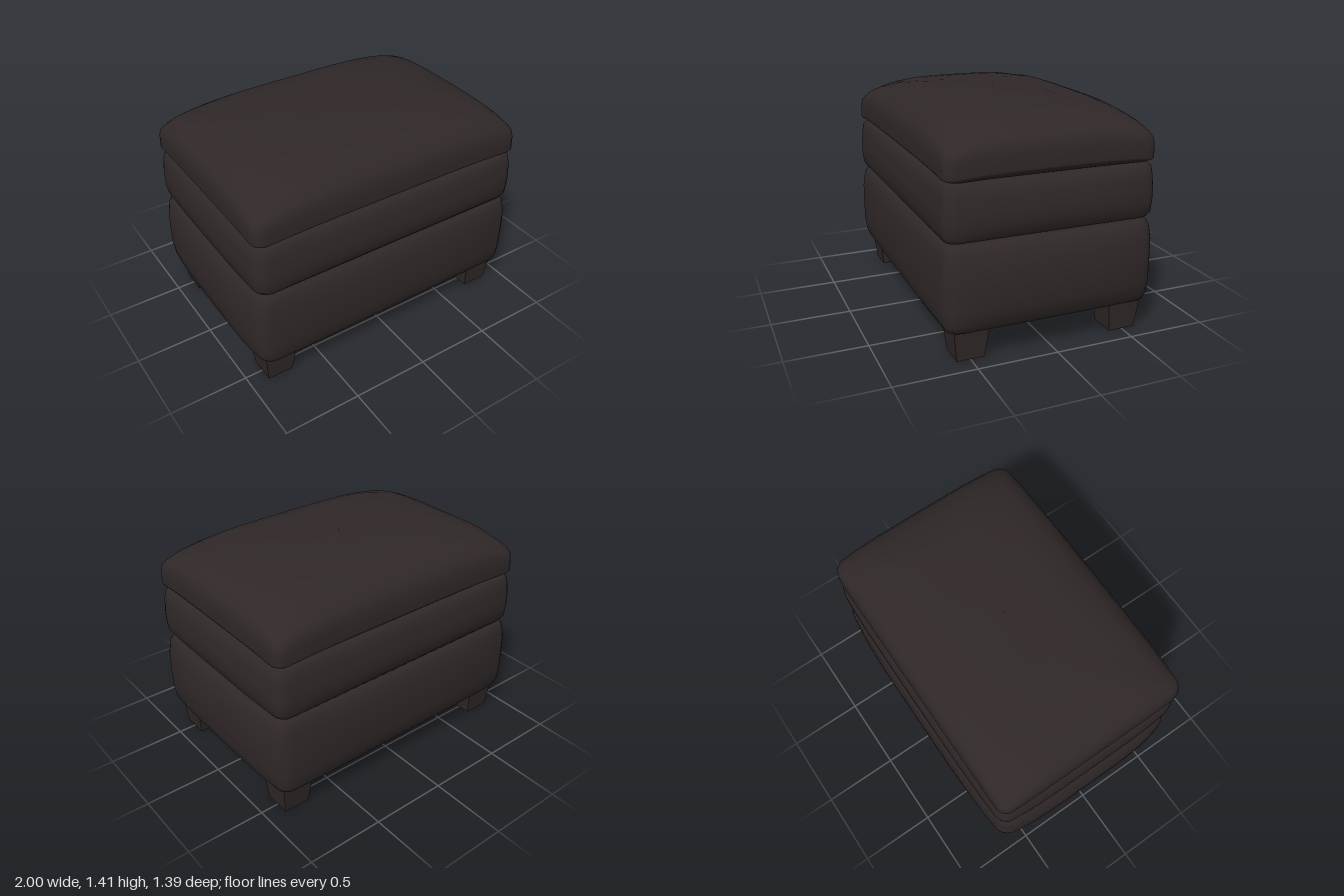
import * as THREE from 'three';

// Perimeter of a rounded rectangle whose four sides swell outwards by `bulge`,
// with corners dipping by `droop`.
function ring([y, hx, hz, bulge = 0, droop = 0]) {
  const r = Math.min(0.07, hx * 0.3, hz * 0.3);
  const base = [];
  const signs = [[1, 1], [-1, 1], [-1, -1], [1, -1]];
  const corner = (q, k) => {
    const a = (q + k / 4) * Math.PI / 2;
    const [sx, sz] = signs[q % 4];
    return [sx * (hx - r) + r * Math.cos(a), sz * (hz - r) + r * Math.sin(a)];
  };
  for (let q = 0; q < 4; q++) {
    for (let k = 0; k <= 4; k++) base.push(corner(q, k));
    const a = corner(q, 4), b = corner(q + 1, 0);
    for (let i = 1; i < 14; i++) {
      const t = i / 14;
      base.push([a[0] + (b[0] - a[0]) * t, a[1] + (b[1] - a[1]) * t]);
    }
  }
  return base.map(([x, z]) => {
    const u = x / hx, v = z / hz;
    return [
      x + Math.sign(x) * bulge * u ** 8 * (1 - v ** 4),
      y - droop * (u * v) ** 4,
      z + 0.65 * Math.sign(z) * bulge * v ** 8 * (1 - u ** 4),
    ];
  });
}

// Skin stacked rings, bottom to top, into one smooth upholstered block.
function cushion(name, rows, material) {
  const rings = rows.map(ring);
  const n = rings[0].length;
  const index = [];
  for (let i = 0; i < rings.length - 1; i++) {
    for (let j = 0; j < n; j++) {
      const a = i * n + j, b = i * n + (j + 1) % n;
      index.push(a, a + n, b, b, a + n, b + n);
    }
  }
  const geometry = new THREE.BufferGeometry();
  geometry.setAttribute('position', new THREE.Float32BufferAttribute(rings.flat(2), 3));
  geometry.setIndex(index);
  geometry.computeVertexNormals();
  const mesh = new THREE.Mesh(geometry, material);
  mesh.name = name;
  return mesh;
}

export function createModel() {
  const group = new THREE.Group();
  group.name = 'footstool';
  const leather = new THREE.MeshStandardMaterial({ color: 0x302828 });
  leather.name = 'dark brown leather';
  const lining = new THREE.MeshStandardMaterial({ color: 0x5a4333 });
  lining.name = 'brown lining';

  // Rows: height, half width, half depth, side bulge, corner droop
  group.add(cushion('baseCushion', [
    [0.18, 0.001, 0.001], [0.18, 0.86, 0.58], [0.18, 0.9, 0.62],
    [0.195, 0.92, 0.64, 0.01], [0.24, 0.938, 0.655, 0.03], [0.33, 0.943, 0.66, 0.05],
    [0.46, 0.943, 0.66, 0.057], [0.58, 0.943, 0.66, 0.048], [0.67, 0.935, 0.65, 0.03],
    [0.705, 0.92, 0.635, 0.015], [0.722, 0.89, 0.605], [0.722, 0.001, 0.001],
  ], leather));
  group.add(cushion('middleCushion', [
    [0.715, 0.001, 0.001], [0.717, 0.88, 0.6], [0.73, 0.92, 0.64],
    [0.76, 0.937, 0.655, 0.015], [0.83, 0.94, 0.66, 0.03], [0.9, 0.94, 0.66, 0.03],
    [0.98, 0.937, 0.655, 0.022], [1.035, 0.93, 0.648, 0.01],
    [1.055, 0.91, 0.632], [1.064, 0.88, 0.6], [1.064, 0.001, 0.001],
  ], leather));
  // The seat is undercut, its rim dipping towards the corners
  group.add(cushion('seatCushion', [
    [1.055, 0.001, 0.001], [1.056, 0.86, 0.58], [1.075, 0.915, 0.625, 0, 0.008],
    [1.1, 0.936, 0.65, 0.005, 0.022], [1.115, 0.942, 0.656, 0.008, 0.028],
    [1.2, 0.941, 0.654, 0.006, 0.035],
    [1.25, 0.936, 0.648, 0.004, 0.05], [1.285, 0.915, 0.632, 0, 0.06],
    [1.325, 0.87, 0.598, 0, 0.06], [1.36, 0.79, 0.54, 0, 0.05], [1.387, 0.68, 0.46, 0, 0.035],
    [1.4, 0.56, 0.37, 0, 0.02], [1.407, 0.36, 0.24], [1.41, 0.001, 0.001],
  ], leather));

  // Underside panel
  const panel = new THREE.Mesh(new THREE.BoxGeometry(1.75, 0.008, 1.17), lining);
  panel.name = 'undersidePanel';
  panel.position.y = 0.178;
  group.add(panel);

  // Tapered square legs
  const legGeometry = new THREE.BoxGeometry(0.214, 0.185, 0.214);
  const p = legGeometry.attributes.position;
  for (let i = 0; i < p.count; i++) {
    if (p.getY(i) < 0) p.setXYZ(i, p.getX(i) * 0.8, p.getY(i), p.getZ(i) * 0.8);
  }
  legGeometry.computeVertexNormals();
  for (const sx of [-1, 1]) {
    for (const sz of [-1, 1]) {
      const leg = new THREE.Mesh(legGeometry, leather);
      leg.name = (sz > 0 ? 'front' : 'back') + (sx > 0 ? 'Left' : 'Right') + 'Leg';
      leg.position.set(sx * 0.795, 0.0925, sz * 0.498);
      group.add(leg);
    }
  }
  return group;
}
